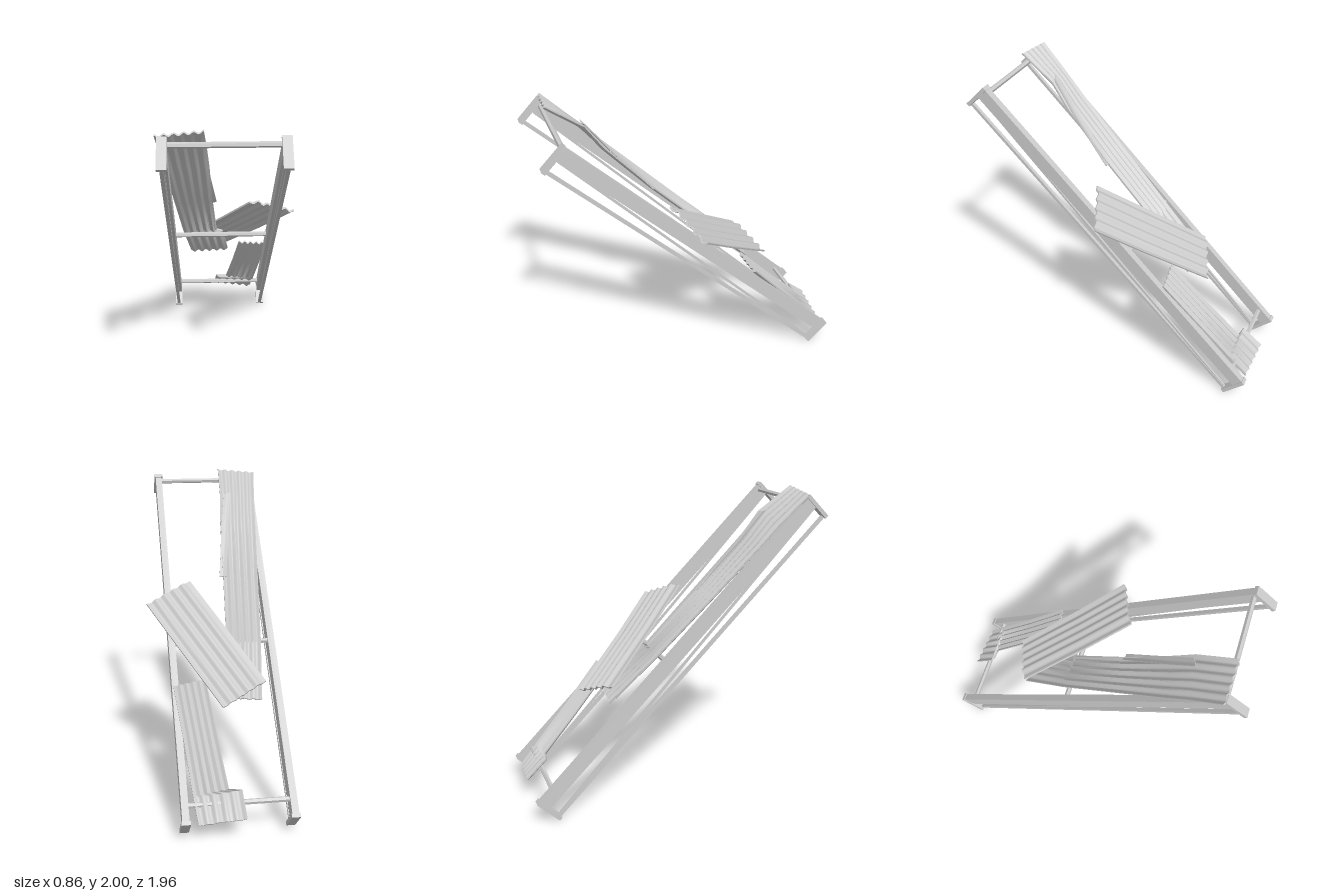
import * as THREE from 'three';
import { toCreasedNormals } from 'three/addons/utils/BufferGeometryUtils.js';

const metal = new THREE.MeshStandardMaterial({ color: 0xcccccc });
metal.name = 'bare metal';
const sheetMetal = metal;

// Corrugated plate. Each row is [left x, height, slope], [right x, height, slope],
// listed from the upper end of the sheet to the lower end.
function corrugatedGeometry(rows, { waves = 5, amp = 0.008, thick = 0.01, lip = 0 } = {}) {
  const n = waves * 6, ring = 2 * (n + 1);
  const pos = [], idx = [];
  for (const [l, r] of rows) {
    for (let k = 0; k < ring; k++) {
      const under = k > n;
      const u = (under ? ring - 1 - k : k) / n;
      const wave = amp * Math.cos(u * waves * Math.PI * 2);
      const drop = lip * Math.max(0, 1 - u / 0.12);
      const p = l.map((a, i) => a + (r[i] - a) * u);
      pos.push(p[0], p[1] + wave - drop - (under ? thick : 0), p[2]);
    }
  }
  for (let v = 0; v < rows.length - 1; v++) {
    for (let k = 0; k < ring; k++) {
      const a = v * ring + k, c = v * ring + (k + 1) % ring;
      idx.push(a, c, c + ring, a, c + ring, a + ring);
    }
  }
  // end caps
  const last = (rows.length - 1) * ring;
  for (let k = 0; k < n; k++) {
    const b = ring - 1 - k;
    idx.push(b, b - 1, k + 1, b, k + 1, k);
    idx.push(last + b, last + k + 1, last + b - 1, last + b, last + k, last + k + 1);
  }
  const g = new THREE.BufferGeometry();
  g.setAttribute('position', new THREE.Float32BufferAttribute(pos, 3));
  g.setIndex(idx);
  return toCreasedNormals(g, 0.9);
}

export function createModel() {
  const model = new THREE.Group();
  model.name = 'leaningFrame';

  // Built flat (y = away from the slope, z = up the slope), then tilted
  const tilted = new THREE.Group();
  tilted.name = 'tiltedAssembly';
  tilted.position.y = 1;
  tilted.rotation.x = -Math.PI / 4;
  model.add(tilted);

  const add = (name, geometry, x = 0, y = 0, z = 0, material = metal) => {
    const m = new THREE.Mesh(geometry, material);
    m.name = name;
    m.position.set(x, y, z);
    tilted.add(m);
    return m;
  };
  const box = (w, h, d) => new THREE.BoxGeometry(w, h, d);

  // Side trusses: beam, lower rod, diagonal rod and two end plates
  for (const [side, x] of [['right', -0.388], ['left', 0.275]]) {
    add(side + 'Beam', box(0.044, 0.085, 2.53), x, 0.033, 0);
    add(side + 'LowerRod', box(0.022, 0.02, 2.53), x, -0.1, 0);
    const brace = add(side + 'BraceRod', box(0.014, 0.014, 2.5), x, -0.052, 0);
    brace.rotation.x = -Math.atan2(0.08, 2.5);
    for (const end of [-1, 1]) {
      add(side + (end > 0 ? 'UpperEndPlate' : 'LowerEndPlate'),
        box(0.056, 0.195, 0.025), x, -0.0165, end * 1.278);
    }
  }

  // Cross bars
  const barGeometry = new THREE.CylinderGeometry(0.017, 0.017, 0.64, 6).toNonIndexed();
  barGeometry.computeVertexNormals();
  barGeometry.rotateZ(Math.PI / 2);
  for (const [name, z] of [['upper', 1.25], ['middle', -0.09], ['lower', -1.167]]) {
    add(name + 'CrossBar', barGeometry, -0.057, 0.048, z);
  }

  // Battered corrugated sheets
  const sheet = (name, rows, options) =>
    add(name, corrugatedGeometry(rows, options), 0, 0, 0, sheetMetal);

  sheet('longSheet', [
    [[-0.43, 0.09, 1.285], [-0.165, 0.1, 1.31]],
    [[-0.405, 0.09, 1.02], [-0.15, 0.145, 1.04]],
    [[-0.39, 0.085, 0.83], [-0.135, 0.11, 0.85]],
    [[-0.355, 0.085, 0.39], [-0.115, 0.085, 0.41]],
    [[-0.315, 0.085, -0.11], [-0.085, 0.085, -0.09]],
    [[-0.313, 0.085, -0.13], [-0.045, 0.08, -0.105]],
    [[-0.27, 0.095, -0.53], [0, 0.095, -0.5]],
  ]);
  sheet('longSheetTornFlap', [
    [[-0.225, 0.15, 1.06], [-0.175, 0.155, 1.04]],
    [[-0.19, 0.12, 0.8], [-0.14, 0.12, 0.8]],
    [[-0.135, 0.095, 0.39], [-0.09, 0.085, 0.4]],
  ], { waves: 1, amp: 0.003, thick: 0.006 });

  sheet('crossedSheet', [
    [[0.12, 0.115, 0.36], [0.425, 0.105, 0.184]],
    [[-0.06, 0.145, 0.02], [0.24, 0.135, -0.16]],
    [[-0.295, 0.195, -0.44], [0, 0.19, -0.61]],
  ], { amp: 0.01, thick: 0.012, lip: 0.025 });

  sheet('lowerSheet', [
    [[0.08, 0.1, -0.375], [0.29, 0.1, -0.41]],
    [[0.04, 0.08, -0.75], [0.25, 0.075, -0.77]],
    [[0, 0.07, -1.09], [0.22, 0.06, -1.11]],
    [[-0.08, 0.075, -1.1], [0.218, 0.058, -1.13]],
    [[-0.09, 0.085, -1.28], [0.2, 0.05, -1.29]],
  ]);

  return model;
}
